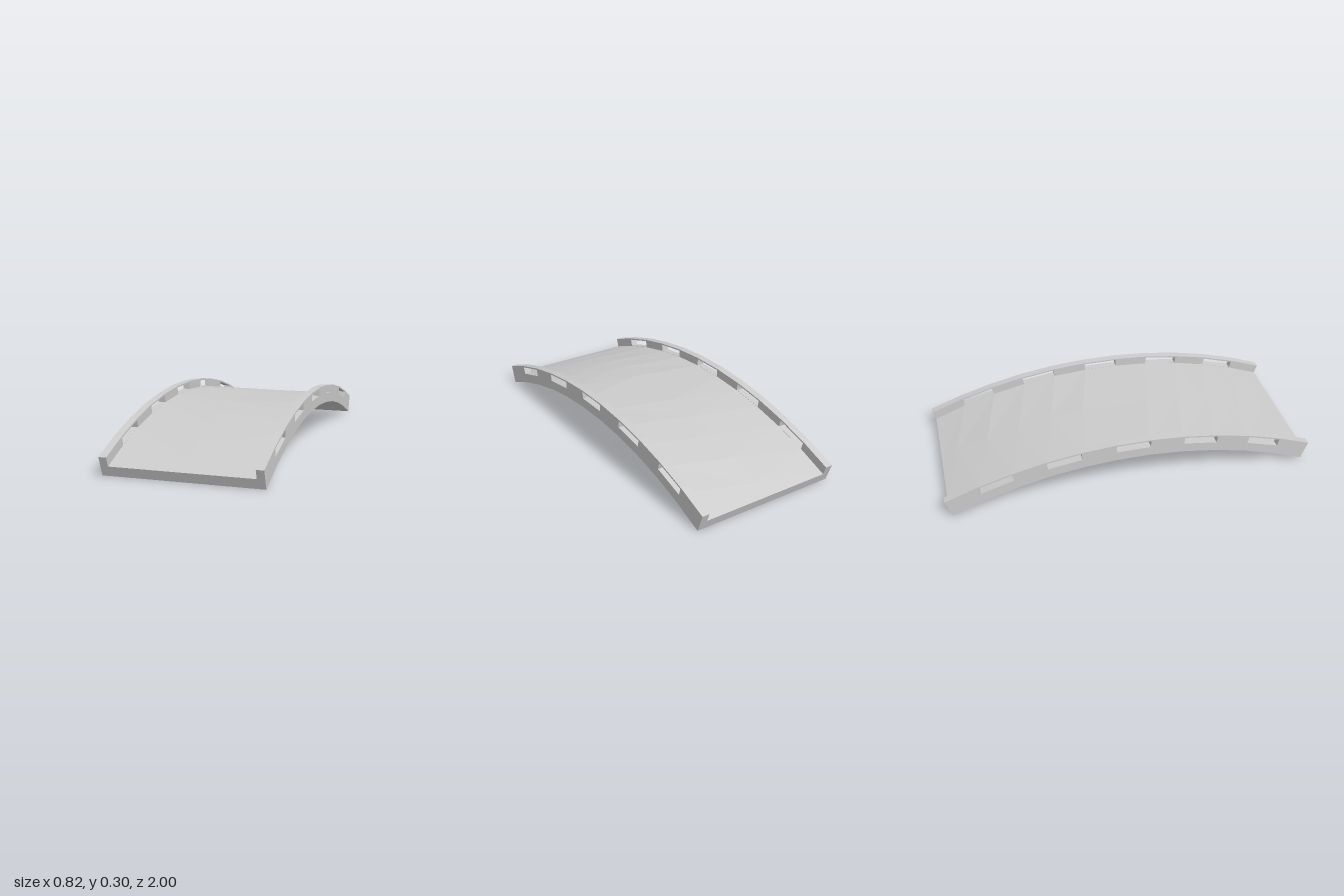
import * as THREE from 'three';

const STEP = Math.PI / 4 / 11; // eleven facets over a 45 degree arc
const END = 5.5, HALF = 0.408, INNER = 0.368;
const DECK = 0.48; // depth of the deck surface within the section
const ROWS = Array.from({ length: 12 }, (_, i) => i - END);

// Point [z, y] on the arch: k counts facets from the crown, t runs 0 (rail top) to 1 (underside)
function arch(k, t) {
  const a = k * STEP, end = Math.cos(END * STEP);
  const rise = (Math.cos(a) - end) / (Math.cos(STEP / 2) - end);
  const z = (1 - 0.035 * t) * Math.sin(a) / Math.sin(END * STEP);
  return [z, 0.098 * (1 - t) + 0.198 * rise];
}

const outline = (pts) => pts.map(([z, y]) => new THREE.Vector2(z, y));

// Side rail: full-height arched plate with five slots
function railGeometry() {
  const shape = new THREE.Shape(outline([
    ...ROWS.map((k) => arch(k, 1)),
    ...ROWS.map((k) => arch(-k, 0)),
  ]));
  for (const k of [-4, -2, 0, 2, 4]) {
    shape.holes.push(new THREE.Path(outline([
      arch(k - 0.5, 0.08), arch(k + 0.5, 0.08), arch(k + 0.5, 0.47), arch(k - 0.5, 0.47),
    ])));
  }
  const geo = new THREE.ExtrudeGeometry(shape, { depth: HALF - INNER, bevelEnabled: false });
  geo.rotateY(-Math.PI / 2);
  return geo.translate((HALF - INNER) / 2, 0, 0);
}

// Deck slab: chevron facets on top, straight facets below, flat ends
function deckGeometry() {
  const pos = [];
  const p = (x, k, t) => {
    const [z, y] = arch(k, t);
    return [x, y, z];
  };
  const quad = (a, b, c, d) => pos.push(...a, ...b, ...c, ...a, ...c, ...d);
  const mid = (k) => Math.sign(k) * Math.min(Math.abs(k) + 0.5, END);
  for (let i = 0; i < ROWS.length - 1; i++) {
    const k = ROWS[i], n = ROWS[i + 1];
    quad(p(-INNER, k, DECK), p(-INNER, n, DECK), p(0, mid(n), DECK), p(0, mid(k), DECK));
    quad(p(0, mid(k), DECK), p(0, mid(n), DECK), p(INNER, n, DECK), p(INNER, k, DECK));
    quad(p(-INNER, k, 1), p(INNER, k, 1), p(INNER, n, 1), p(-INNER, n, 1));
  }
  for (const s of [-1, 1]) {
    const x = s * INNER, k = s * END;
    quad(p(-x, k, 1), p(x, k, 1), p(x, k, DECK), p(-x, k, DECK));
  }
  const geo = new THREE.BufferGeometry();
  geo.setAttribute('position', new THREE.Float32BufferAttribute(pos, 3));
  geo.computeVertexNormals();
  return geo;
}

export function createModel() {
  const group = new THREE.Group();
  group.name = 'archedBridge';
  const material = new THREE.MeshStandardMaterial({ color: 0xcccccc, flatShading: true });

  const deck = new THREE.Mesh(deckGeometry(), material);
  deck.name = 'deck';
  group.add(deck);

  const railGeo = railGeometry();
  for (const [name, side] of [['leftRail', 1], ['rightRail', -1]]) {
    const rail = new THREE.Mesh(railGeo, material);
    rail.name = name;
    rail.position.x = side * (HALF + INNER) / 2;
    group.add(rail);
  }
  return group;
}
